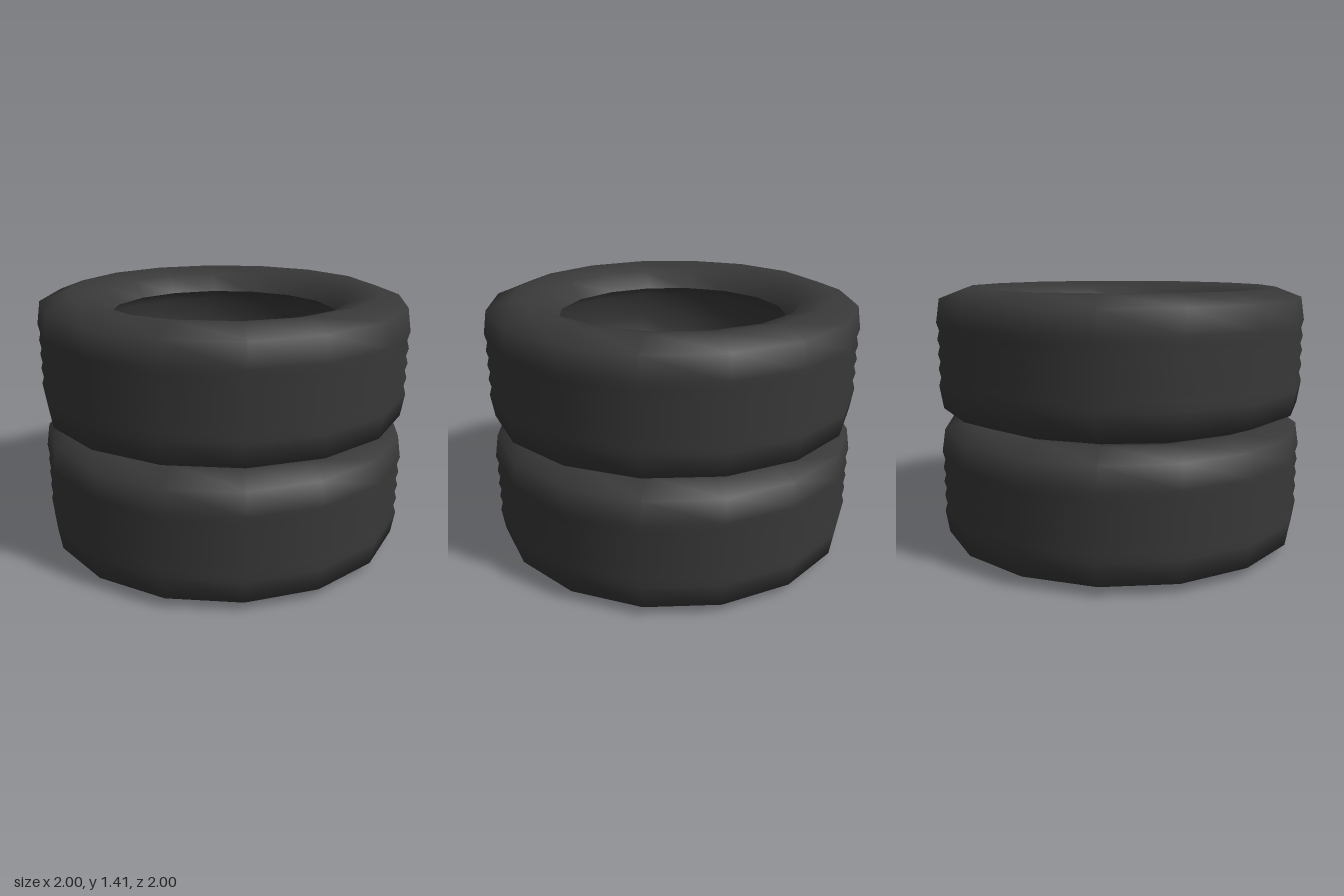
import * as THREE from 'three';

const SIDES = 16;
const HALF = 0.35; // half the width of one tyre

// A 16-sided ring with a flat side facing each axis
function ring(points, material, name) {
  const pts = points.map(([r, y]) => new THREE.Vector2(r, y));
  const mesh = new THREE.Mesh(new THREE.LatheGeometry(pts, SIDES, Math.PI / SIDES), material);
  mesh.name = name;
  return mesh;
}

// Mirrors an upper half profile (rising from the middle) into a full one, bottom to top
function mirrored(upper) {
  const lower = upper.filter(([, y]) => y > 0).map(([r, y]) => [r, -y]).reverse();
  return [...lower, ...upper];
}

function createTyre(rubber, name) {
  const tyre = new THREE.Group();
  tyre.name = name;

  // Grooved tread, shoulder and sidewall down to the bead
  const outer = mirrored([
    [1.018, 0], [1.007, 0.04], [1.018, 0.08], [1.007, 0.125], [1.0196, 0.17],
    [1.0, 0.295], [0.856, HALF], [0.71, 0.315], [0.63, 0.22],
  ]);
  tyre.add(ring(outer, rubber, 'treadAndSidewalls'));

  // Hollow inside, running top to bottom so that it faces the axis
  const inner = mirrored([[0.78, 0], [0.765, 0.15], [0.71, 0.215], [0.63, 0.22]]).reverse();
  tyre.add(ring(inner, rubber, 'innerLining'));
  return tyre;
}

export function createModel() {
  const model = new THREE.Group();
  model.name = 'tyreStack';
  const rubber = new THREE.MeshStandardMaterial({ color: 0x383838 });
  rubber.name = 'darkRubber';

  ['lowerTyre', 'upperTyre'].forEach((name, i) => {
    const tyre = createTyre(rubber, name);
    tyre.position.y = HALF + i * (2 * HALF + 0.008);
    model.add(tyre);
  });
  return model;
}
